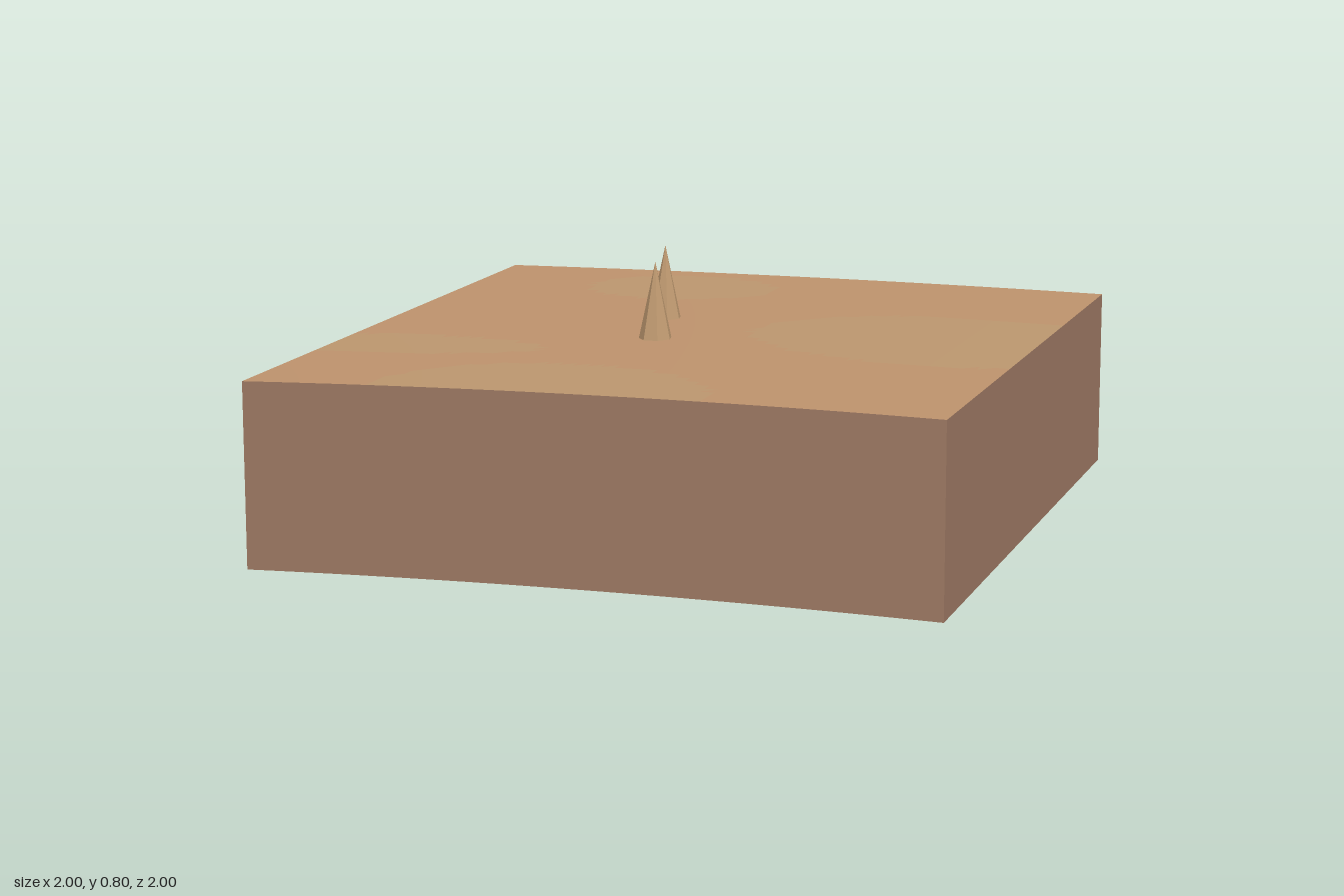
import * as THREE from 'three';

const WALL = 0.535; // constant wall depth below the ground edge

// gentle slope: front edge curve blended into the back edge curve
function height(x, z) {
  const front = 0.559 + 0.01 * x - 0.014 * x * x;
  const back = 0.586 + 0.001 * x - 0.008 * x * x;
  return THREE.MathUtils.lerp(back, front, (z + 1) / 2);
}

// slightly paler ground patches: centre x, z, radius x, z
const patches = [
  [-0.3, -0.7, 0.3, 0.22],
  [0.75, -0.05, 0.6, 0.38],
  [-0.15, 0.95, 0.48, 0.35],
  [-0.8, 0.4, 0.45, 0.14],
];
const isPale = (x, z) => patches.some(([cx, cz, rx, rz]) => ((x - cx) / rx) ** 2 + ((z - cz) / rz) ** 2 < 1);

export function createModel() {
  const group = new THREE.Group();
  const sand = new THREE.MeshStandardMaterial({ color: 0xbd926c, side: THREE.DoubleSide });
  sand.name = 'sand';
  const paleSand = new THREE.MeshStandardMaterial({ color: 0xbb966e, side: THREE.DoubleSide });
  paleSand.name = 'paleSand';
  const earth = new THREE.MeshStandardMaterial({ color: 0xa07b65, side: THREE.DoubleSide });
  earth.name = 'earth';
  const spikeTan = new THREE.MeshStandardMaterial({ color: 0xc09a70, flatShading: true });
  spikeTan.name = 'spikeTan';

  // ground sheet, its triangles sorted into the two sand tones
  const ground = new THREE.PlaneGeometry(2, 2, 48, 48).rotateX(-Math.PI / 2);
  const pos = ground.attributes.position;
  for (let i = 0; i < pos.count; i++) pos.setY(i, height(pos.getX(i), pos.getZ(i)));
  ground.computeVertexNormals();
  const tones = [[], []];
  const index = ground.index.array;
  for (let i = 0; i < index.length; i += 3) {
    const tri = [index[i], index[i + 1], index[i + 2]];
    const x = tri.reduce((s, v) => s + pos.getX(v), 0) / 3;
    const z = tri.reduce((s, v) => s + pos.getZ(v), 0) / 3;
    tones[isPale(x, z) ? 1 : 0].push(...tri);
  }
  ground.setIndex([...tones[0], ...tones[1]]);
  ground.clearGroups();
  ground.addGroup(0, tones[0].length, 0);
  ground.addGroup(tones[0].length, tones[1].length, 1);
  const groundMesh = new THREE.Mesh(ground, [sand, paleSand]);
  groundMesh.name = 'ground';
  group.add(groundMesh);

  // four thin walls that follow the ground edge; open underneath
  ['frontWall', 'leftWall', 'backWall', 'rightWall'].forEach((name, side) => {
    const wall = new THREE.PlaneGeometry(2, 1, 48, 1).translate(0, 0, 1).rotateY(side * Math.PI / 2);
    const p = wall.attributes.position;
    for (let i = 0; i < p.count; i++) {
      const top = height(p.getX(i), p.getZ(i));
      p.setY(i, p.getY(i) > 0 ? top : top - WALL);
    }
    wall.computeVertexNormals();
    const mesh = new THREE.Mesh(wall, earth);
    mesh.name = name;
    group.add(mesh);
  });

  // two seven-sided spikes
  [[-0.17, -0.165], [-0.085, 0.165]].forEach(([x, z], i) => {
    const spike = new THREE.Mesh(new THREE.ConeGeometry(0.05, 0.23, 7), spikeTan);
    spike.name = i ? 'frontSpike' : 'backSpike';
    spike.position.set(x, 0.68, z);
    spike.rotation.y = Math.PI;
    group.add(spike);
  });

  return group;
}
